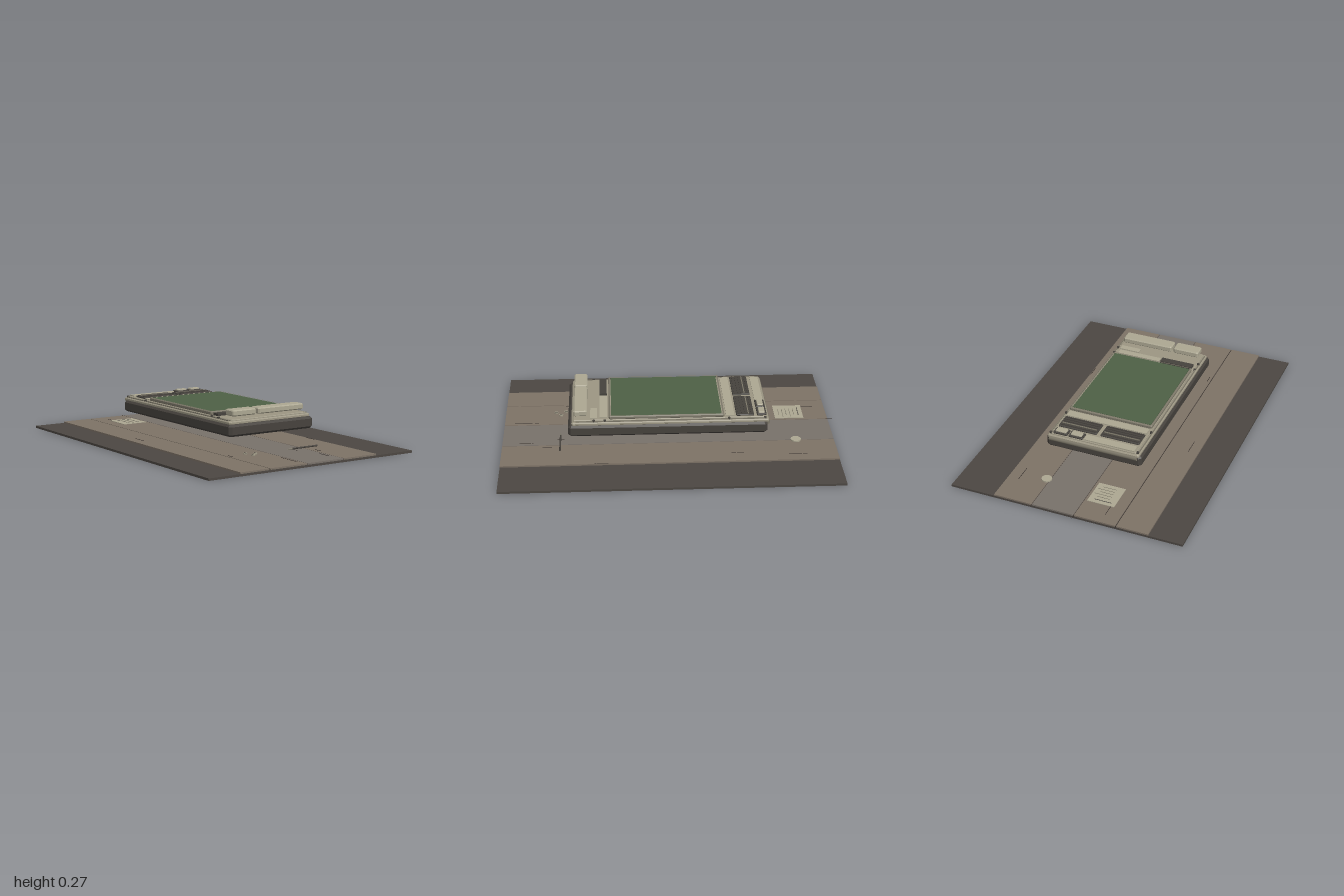
import * as THREE from 'three';

const mat = (name, color) => {
  const m = new THREE.MeshStandardMaterial({ color });
  m.name = name;
  return m;
};

export function createModel() {
  const model = new THREE.Group();
  const M = {
    mat: mat('dark mat', 0x4c4742),
    wood: mat('wood', 0x7d7266),
    wood2: mat('grey wood', 0x78716a),
    seam: mat('seam', 0x3a342f),
    rubber: mat('dark rubber', 0x46423d),
    shell: mat('shell', 0x9c9683),
    panel: mat('panel', 0xaca792),
    trim: mat('trim', 0x7d7869),
    vent: mat('vent', 0x45423d),
    screen: mat('screen', 0x4e6045),
  };
  const add = (parent, name, geo, m) => {
    const mesh = new THREE.Mesh(geo, m);
    mesh.name = name;
    parent.add(mesh);
    return mesh;
  };
  // Plain box given by its limits
  const box = (parent, name, m, x0, x1, y0, y1, z0, z1) => {
    const mesh = add(parent, name, new THREE.BoxGeometry(x1 - x0, y1 - y0, z1 - z0), m);
    mesh.position.set((x0 + x1) / 2, (y0 + y1) / 2, (z0 + z1) / 2);
    return mesh;
  };
  // Octagonal outline in the XZ plane
  const outline = (path, x0, x1, z0, z1, c) => {
    path.moveTo(x0 + c, -z0).lineTo(x1 - c, -z0).lineTo(x1, -z0 - c).lineTo(x1, -z1 + c);
    path.lineTo(x1 - c, -z1).lineTo(x0 + c, -z1).lineTo(x0, -z1 + c).lineTo(x0, -z0 - c);
    path.closePath();
    return path;
  };
  // Chamfered slab, optionally with an opening [x0, x1, z0, z1]
  const slab = (parent, name, m, x0, x1, y0, y1, z0, z1, b, hole) => {
    const s = outline(new THREE.Shape(), x0 + b, x1 - b, z0 + b, z1 - b, b * 0.7);
    if (hole) s.holes.push(outline(new THREE.Path(), ...hole, b * 0.7));
    const geo = new THREE.ExtrudeGeometry(s, {
      depth: y1 - y0 - 2 * b, bevelEnabled: true, bevelSize: b, bevelThickness: b, bevelSegments: 1,
    });
    geo.rotateX(-Math.PI / 2).translate(0, y0 + b, 0);
    return add(parent, name, geo, m);
  };
  const disc = (parent, name, m, r, h, x, y, z, sides = 12) => {
    const mesh = add(parent, name, new THREE.CylinderGeometry(r, r, h, sides), m);
    mesh.position.set(x, y, z);
    return mesh;
  };

  // Table: dark mat with four planks, gaps between them
  const table = new THREE.Group();
  table.name = 'table';
  model.add(table);
  box(table, 'base', M.mat, -0.7, 0.7, 0, 0.013, -0.97, 1);
  [[-0.5, -0.313, M.wood], [-0.307, -0.061, M.wood], [-0.057, 0.194, M.wood2], [0.198, 0.43, M.wood]]
    .forEach(([a, b, m]) => box(table, 'plank', m, a, b, 0.013, 0.022, -0.97, 1));
  [[-0.31, 0.006], [-0.059, 0.004], [0.196, 0.004]].forEach(([x, w]) =>
    box(table, 'seam', M.seam, x - w / 2, x + w / 2, 0.013, 0.018, -0.97, 1));
  box(table, 'splinter', M.seam, -0.0595, -0.0585, 0.021, 0.0225, -1, -0.96);
  [[-0.22, -0.9, -0.825], [0.365, -0.79, -0.68], [0.335, -0.42, -0.345], [-0.44, -0.175, -0.07],
    [0.425, 0.375, 0.455], [-0.08, 0.795, 0.94], [0.17, 0.815, 0.9], [0.225, 0.705, 0.76],
    [0.125, 0.635, 0.675], [-0.29, 0.58, 0.635]]
    .forEach(([x, a, b]) => box(table, 'scratch', M.seam, x - 0.0015, x + 0.0015, 0.0215, 0.0235, a, b));

  // Loose items lying around
  const items = new THREE.Group();
  items.name = 'looseItems';
  model.add(items);
  box(items, 'note', M.panel, -0.24, -0.077, 0.022, 0.025, -0.825, -0.65);
  box(items, 'noteHeading', M.vent, -0.215, -0.11, 0.025, 0.026, -0.8, -0.796);
  for (let i = 0; i < 5; i++) {
    box(items, 'noteLine', M.trim, -0.195, i % 2 ? -0.09 : -0.115, 0.025, 0.026, -0.772 + i * 0.023, -0.769 + i * 0.023);
  }
  disc(items, 'token', M.panel, 0.031, 0.008, 0.21, 0.034, -0.74);
  [[-0.207, 0.63], [-0.16, 0.66], [-0.195, 0.69]].forEach(([x, z]) => {
    disc(items, 'screw', M.shell, 0.013, 0.006, x, 0.033, z, 8);
    box(items, 'screwSlot', M.vent, x - 0.002, x + 0.002, 0.036, 0.037, z - 0.009, z + 0.009);
  });
  const pen = add(items, 'pen', new THREE.CylinderGeometry(0.005, 0.005, 0.18, 8), M.rubber);
  pen.rotation.z = Math.PI / 2;
  pen.position.set(0.19, 0.033, 0.657);
  const tip = add(items, 'penTip', new THREE.ConeGeometry(0.005, 0.04, 8), M.trim);
  tip.rotation.z = Math.PI / 2;
  tip.position.set(0.08, 0.033, 0.657);

  // Device body: dark tray, pale shell and raised deck
  const device = new THREE.Group();
  device.name = 'device';
  model.add(device);
  slab(device, 'tray', M.rubber, -0.293, 0.293, 0.127, 0.195, -0.56, 0.605, 0.012);
  slab(device, 'shell', M.shell, -0.282, 0.282, 0.19, 0.212, -0.568, 0.585, 0.006);
  slab(device, 'deck', M.shell, -0.262, 0.262, 0.205, 0.22, -0.558, 0.575, 0.004);
  const bar = add(device, 'rearBar', new THREE.CylinderGeometry(0.016, 0.016, 0.54, 10), M.trim);
  bar.rotation.z = Math.PI / 2;
  bar.position.set(0, 0.188, -0.559);
  for (const s of [-1, 1]) {
    box(device, 'sideRail', M.trim, s * 0.272 - 0.003, s * 0.272 + 0.003, 0.21, 0.217, -0.55, 0.56);
    for (const z of [-0.545, -0.335, 0.39, 0.455]) {
      disc(device, 'sideScrew', M.vent, 0.008, 0.016, s * 0.268, 0.214, z, 8);
    }
  }

  // Screen with frame
  slab(device, 'screenFrame', M.trim, -0.26, 0.26, 0.218, 0.24, -0.307, 0.367, 0.005,
    [-0.25, 0.25, -0.297, 0.357]);
  box(device, 'screen', M.screen, -0.246, 0.246, 0.22, 0.238, -0.292, 0.353);

  // Rear controls: label strip, two small keys, louvred vents
  box(device, 'rearStrip', M.panel, -0.25, 0.06, 0.22, 0.226, -0.552, -0.503);
  [[0.067, 0.155], [0.163, 0.25]].forEach(([a, b]) => {
    slab(device, 'keySurround', M.vent, a, b, 0.218, 0.23, -0.556, -0.5, 0.003);
    slab(device, 'smallKey', M.panel, a + 0.01, b - 0.01, 0.225, 0.238, -0.546, -0.51, 0.003);
  });
  [[-0.25, -0.012], [0.012, 0.25]].forEach(([a, b]) => {
    slab(device, 'vent', M.vent, a, b, 0.218, 0.229, -0.482, -0.378, 0.003);
    for (let i = 0; i < 5; i++) {
      const z = -0.468 + i * 0.019;
      box(device, 'louvre', i === 1 ? M.trim : M.rubber, a + 0.01, b - 0.01, 0.228, 0.233, z - 0.003, z + 0.003);
    }
  });
  box(device, 'middleStrip', M.panel, -0.25, 0.25, 0.22, 0.226, -0.367, -0.318);

  // Front controls: strips and two raised keys
  box(device, 'darkStrip', M.vent, -0.25, -0.045, 0.22, 0.234, 0.377, 0.421);
  box(device, 'paleStrip', M.panel, -0.035, 0.238, 0.22, 0.227, 0.377, 0.421);
  box(device, 'smallPlate', M.panel, 0.12, 0.246, 0.22, 0.226, 0.436, 0.475);
  [[-0.25, -0.088], [-0.074, 0.246]].forEach(([a, b]) =>
    slab(device, 'raisedKey', M.panel, a, b, 0.236, 0.271, 0.493, 0.572, 0.006));

  return model;
}
